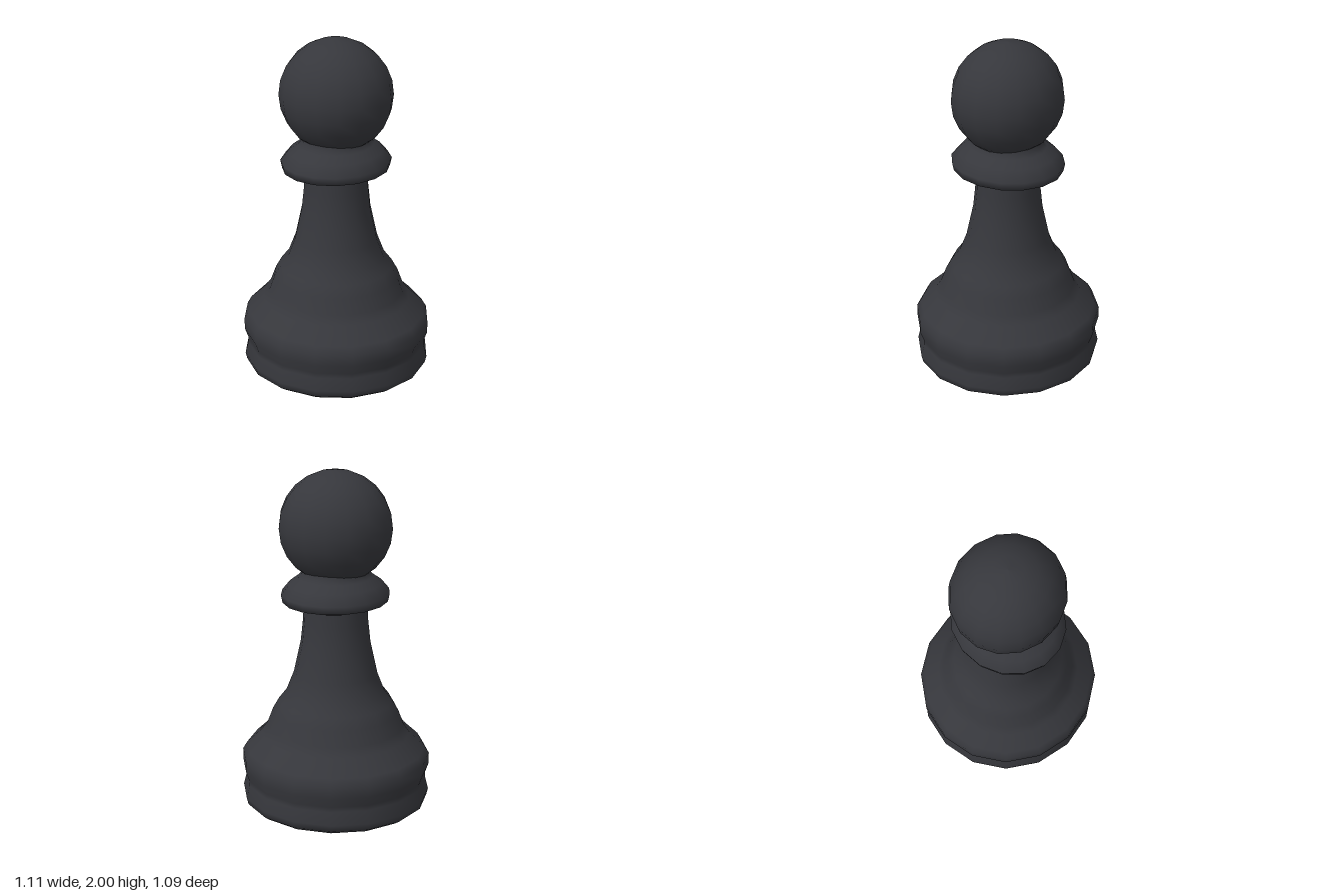
import * as THREE from 'three';

const SIDES = 16;

export function createModel() {
  const model = new THREE.Group();
  const material = new THREE.MeshStandardMaterial();
  material.color.set(0x36373c);

  // Turned part: [radius, height] pairs from bottom to top
  function turned(name, profile, turn, scaleX, scaleZ) {
    const points = profile.map(([r, y]) => new THREE.Vector2(r, y));
    const mesh = new THREE.Mesh(new THREE.LatheGeometry(points, SIDES, turn), material);
    mesh.name = name;
    mesh.scale.set(scaleX, 1, scaleZ);
    model.add(mesh);
  }

  // Flat underside, so the disc keeps its sharp shading
  turned('underside', [[0, 0.005], [0.47, 0.005]], -0.065, 1, 0.98);

  // Grooved foot flowing into the waisted stem
  turned('baseAndStem', [
    [0.47, 0.005], [0.515, 0.016], [0.548, 0.04], [0.557, 0.08],
    [0.538, 0.155], [0.537, 0.185], [0.557, 0.243], [0.557, 0.31],
    [0.53, 0.355], [0.44, 0.44], [0.404, 0.49], [0.372, 0.575],
    [0.335, 0.64], [0.288, 0.7], [0.245, 0.81], [0.203, 1.0],
    [0.189, 1.13], [0.184, 1.24],
  ], -0.065, 1, 0.98);

  // Collar, a little deeper than wide
  turned('collar', [
    [0.17, 1.205], [0.19, 1.215], [0.25, 1.235], [0.305, 1.25], [0.314, 1.295],
    [0.267, 1.352], [0.215, 1.39], [0.195, 1.41], [0.19, 1.44],
  ], Math.PI / SIDES, 0.99, 1.08);

  // Round head
  const head = [];
  const rings = 12;
  for (let i = 0; i <= rings; i++) {
    const a = (i / rings) * Math.PI;
    head.push([0.328 * Math.sin(a), 1.675 - 0.325 * Math.cos(a)]);
  }
  turned('head', head, Math.PI / SIDES, 1, 0.955);

  return model;
}
